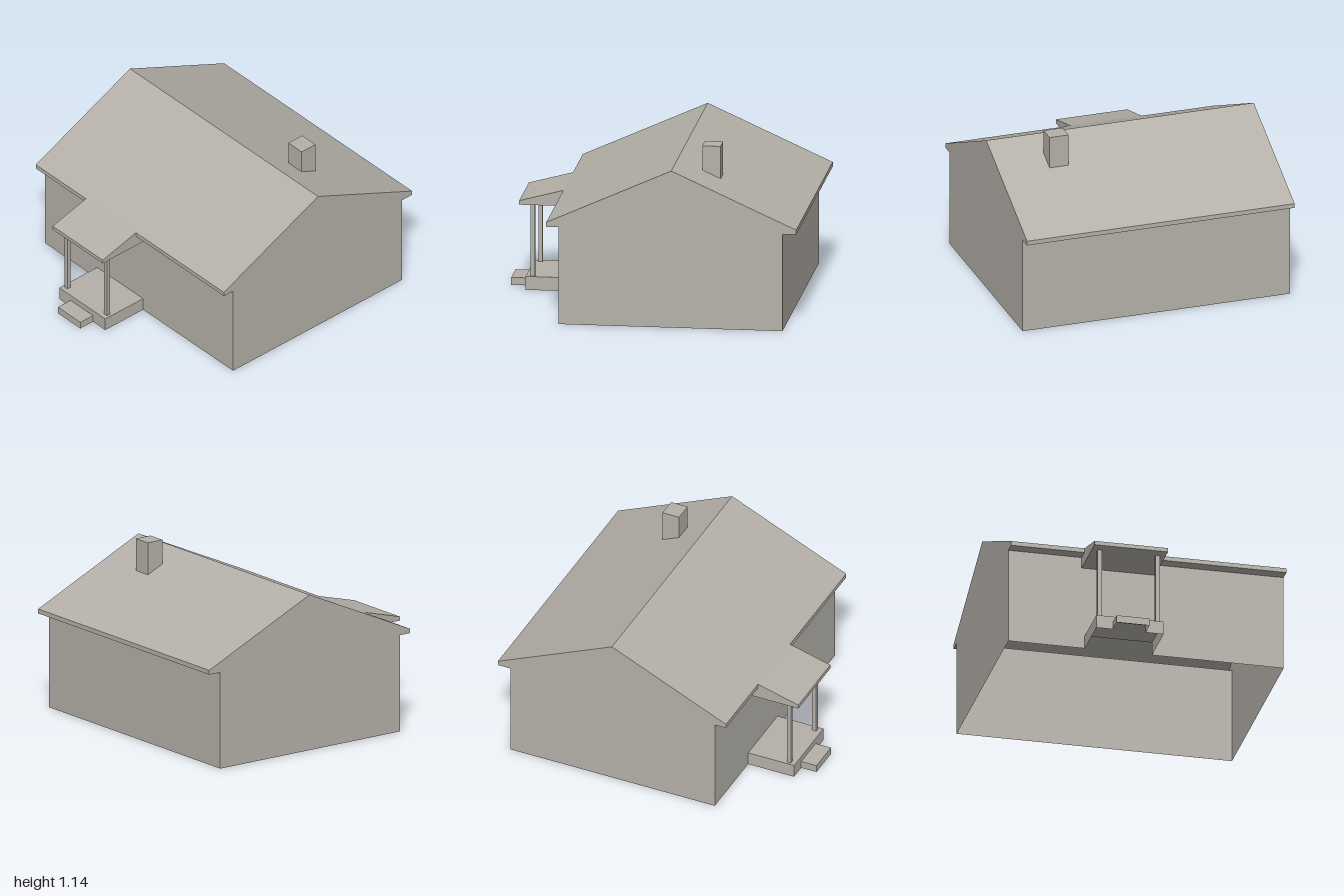
import * as THREE from 'three';
import { mergeGeometries } from 'three/addons/utils/BufferGeometryUtils.js';

const clay = new THREE.MeshStandardMaterial({ color: 0xb4b0a8, side: THREE.DoubleSide });
clay.name = 'warm grey';

const toShape = (pts) => new THREE.Shape(pts.map(([x, y]) => new THREE.Vector2(x, y)));

function addMesh(group, name, geometry) {
  const mesh = new THREE.Mesh(geometry, clay);
  mesh.name = name;
  group.add(mesh);
  return mesh;
}

// Flat end cap in the zy plane, facing +x or -x
function endCap(pts, x, side) {
  const g = new THREE.ShapeGeometry(toShape(pts.map(([z, y]) => [-side * z, y])))
    .rotateY(side * Math.PI / 2).translate(x, 0, 0).toNonIndexed();
  g.deleteAttribute('uv');
  return g;
}

// Open shell: a [z, y] profile swept along x, with closed ends.
// The extra points complete the end caps where the shell is left open.
function shell(profile, x0, x1, extra = []) {
  const pos = [];
  for (let i = 0; i < profile.length - 1; i++) {
    const [az, ay] = profile[i];
    const [bz, by] = profile[i + 1];
    pos.push(x0, ay, az, x1, ay, az, x1, by, bz);
    pos.push(x0, ay, az, x1, by, bz, x0, by, bz);
  }
  const band = new THREE.BufferGeometry();
  band.setAttribute('position', new THREE.Float32BufferAttribute(pos, 3));
  band.computeVertexNormals();
  const outline = [...profile, ...extra];
  return mergeGeometries([band, endCap(outline, x1, 1), endCap(outline, x0, -1)]);
}

// Thin wall facing +z, drawn from [x, y] points
const frontPanel = (pts, z) => new THREE.ShapeGeometry(toShape(pts)).translate(0, 0, z);

export function createModel() {
  const house = new THREE.Group();
  house.name = 'house';

  // Gabled roof with boxed eaves, back wall and side walls, open underneath
  addMesh(house, 'roofAndWalls', shell([
    [0.56, 0.65], [0.64, 0.65], [0.64, 0.68], [-0.18, 1.05],
    [-1, 0.68], [-1, 0.65], [-0.91, 0.65], [-0.91, 0],
  ], -0.92, 0.92, [[0.56, 0]]));

  // Front wall, cut away behind the porch floor and porch roof
  addMesh(house, 'frontWall', frontPanel([
    [-0.92, 0], [-0.41, 0], [-0.41, 0.09], [0.04, 0.09], [0.04, 0], [0.92, 0],
    [0.92, 0.65], [0.06, 0.65], [0.06, 0.575], [-0.43, 0.575], [-0.43, 0.65], [-0.92, 0.65],
  ], 0.56));

  // Chimney standing on the back slope
  addMesh(house, 'chimney', shell([
    [-0.34, 0.978], [-0.34, 1.14], [-0.46, 1.14], [-0.46, 0.924],
  ], 0.45, 0.58));

  const porch = new THREE.Group();
  porch.name = 'porch';
  house.add(porch);

  // Porch roof sloping down from the eave
  addMesh(porch, 'porchRoof', shell([
    [0.56, 0.575], [0.93, 0.575], [0.93, 0.602], [0.64, 0.68],
  ], -0.43, 0.06, [[0.64, 0.65], [0.56, 0.65]]));

  // Porch floor and its front, open where the step joins
  addMesh(porch, 'porchFloor', shell([[0.89, 0.09], [0.56, 0.09]],
    -0.41, 0.04, [[0.56, 0], [0.89, 0]]));
  addMesh(porch, 'porchFront', frontPanel([
    [-0.41, 0], [-0.3, 0], [-0.3, 0.05], [-0.08, 0.05], [-0.08, 0],
    [0.04, 0], [0.04, 0.09], [-0.41, 0.09],
  ], 0.89));

  // Entrance step
  addMesh(porch, 'step', shell([[1, 0], [1, 0.05], [0.89, 0.05]],
    -0.3, -0.08, [[0.89, 0]]));

  // Porch posts
  for (const x of [-0.38, 0.008]) {
    addMesh(porch, 'porchPost', new THREE.BoxGeometry(0.028, 0.485, 0.028))
      .position.set(x, 0.3325, 0.845);
  }

  return house;
}
